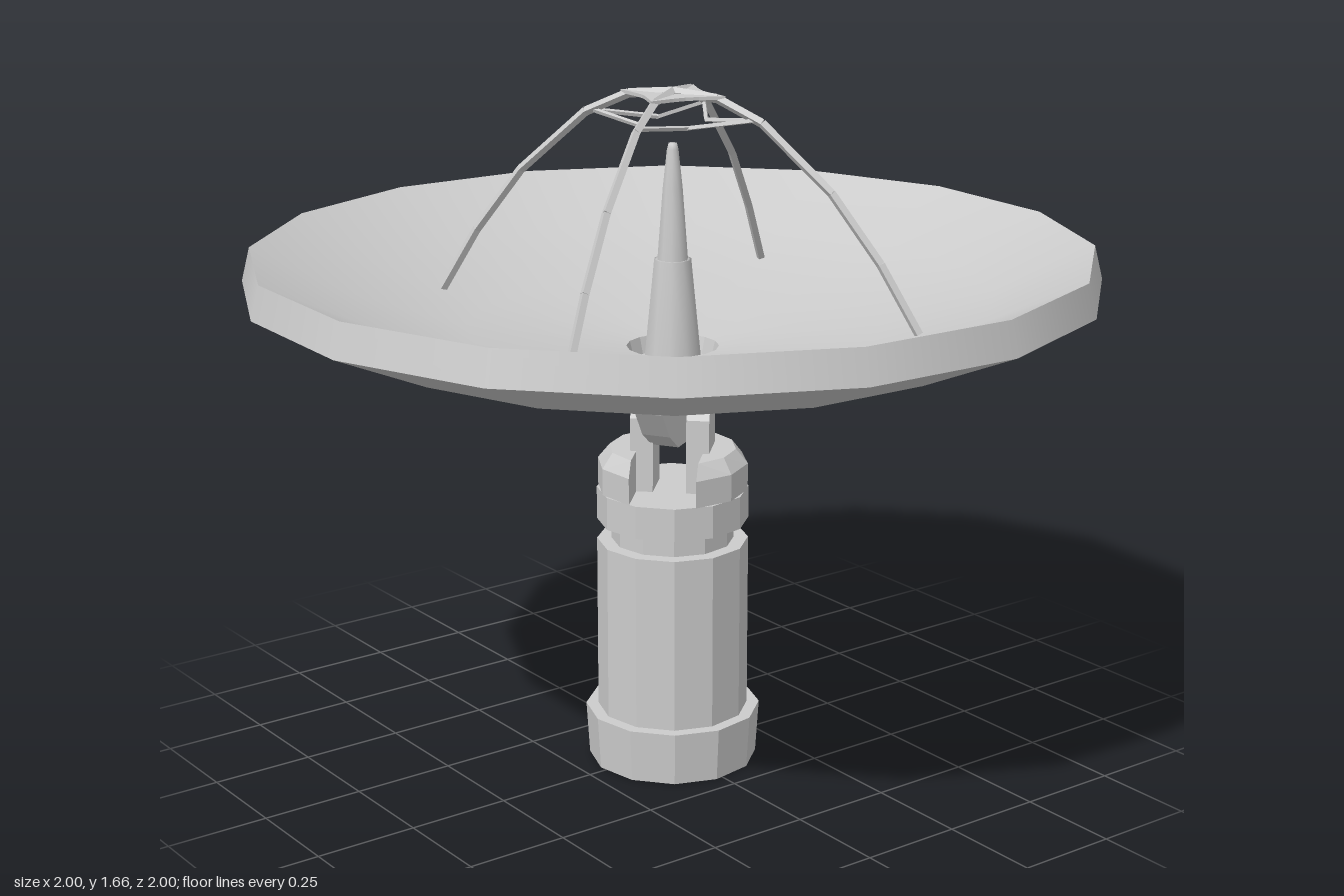
import * as THREE from 'three';
import { ConvexGeometry } from 'three/addons/geometries/ConvexGeometry.js';

const flat = new THREE.MeshStandardMaterial({ color: 0xcccccc, flatShading: true, side: THREE.DoubleSide });
const smooth = new THREE.MeshStandardMaterial({ color: 0xcccccc, side: THREE.DoubleSide });
const V = (x, y, z) => new THREE.Vector3(x, y, z);

function add(parent, name, geometry, material = flat) {
  const mesh = new THREE.Mesh(geometry, material);
  mesh.name = name;
  parent.add(mesh);
  return mesh;
}

function lathe(parent, name, profile, sides, material) {
  const points = profile.map(([r, y]) => new THREE.Vector2(r, y));
  return add(parent, name, new THREE.LatheGeometry(points, sides), material);
}

// Straight four-sided rod between two points
function rod(parent, name, a, b, radius) {
  const span = b.clone().sub(a);
  const mesh = add(parent, name, new THREE.CylinderGeometry(radius, radius, span.length(), 4));
  mesh.position.copy(a).addScaledVector(span, 0.5);
  mesh.quaternion.setFromUnitVectors(V(0, 1, 0), span.normalize());
}

function makePedestal() {
  const g = new THREE.Group();
  g.name = 'pedestal';
  // Base skirt is open underneath, with a ceiling at the top
  lathe(g, 'baseSkirt', [[0.205, 0], [0.213, 0.13], [0, 0.13]], 12, flat);
  lathe(g, 'column', [[0.183, 0.13], [0.183, 0.56], [0, 0.56]], 12, flat);
  lathe(g, 'neck', [[0.148, 0.56], [0.148, 0.61]], 12, flat);
  lathe(g, 'collar', [[0, 0.61], [0.183, 0.61], [0.183, 0.69], [0, 0.69]], 12, flat);
  g.rotation.y = -0.09;
  return g;
}

function makeYoke() {
  const g = new THREE.Group();
  g.name = 'yoke';
  const inner = 0.08;
  for (const side of [1, -1]) {
    // Arm: slice of the round collar with a chamfered top
    const points = [];
    for (const [r, y] of [[0.182, 0.69], [0.182, 0.755], [0.153, 0.79]]) {
      const reach = Math.acos(inner / r);
      for (let i = 0; i <= 4; i++) {
        const a = reach * (i / 2 - 1);
        points.push(V(r * Math.sin(a), y, side * r * Math.cos(a)));
      }
    }
    add(g, 'yokeArm', new ConvexGeometry(points));

    // Bearing ear with a chamfered head
    const ear = new THREE.Shape();
    ear.moveTo(-0.055, 0.69);
    ear.lineTo(0.055, 0.69);
    ear.lineTo(0.05, 0.87);
    ear.lineTo(0.025, 0.915);
    ear.lineTo(-0.025, 0.915);
    ear.lineTo(-0.05, 0.87);
    const mesh = add(g, 'bearingEar', new THREE.ExtrudeGeometry(ear, { depth: 0.055, bevelEnabled: false }));
    mesh.position.z = side > 0 ? 0.04 : -0.095;
  }
  g.rotation.y = -Math.PI / 4;
  return g;
}

function makeDish() {
  const g = new THREE.Group();
  g.name = 'dishHead';

  // Reflector shell
  lathe(g, 'dishUndersideCentre', [[0, 0.95], [0.1, 0.957], [0.49, 1.01]], 16, smooth);
  lathe(g, 'dishUnderside', [[0.49, 1.01], [0.76, 1.09], [1.012, 1.2]], 16, smooth);
  lathe(g, 'dishRim', [[1.012, 1.2], [0.992, 1.28]], 16, smooth);
  lathe(g, 'dishBowl', [[0.992, 1.28], [0.76, 1.17], [0.49, 1.09], [0.11, 1.04]], 16, smooth);

  // Sunken socket and stepped feed horn
  lathe(g, 'feedSocket', [[0.11, 1.04], [0.1, 1.0], [0, 1.0]], 16, flat);
  lathe(g, 'feedHornBase', [[0.07, 1.0], [0.045, 1.25], [0.037, 1.25]], 10, smooth);
  lathe(g, 'feedHorn', [[0.037, 1.25], [0.024, 1.42], [0.014, 1.51], [0.01, 1.525], [0, 1.525]], 10, smooth);

  // Half-round bracket held between the ears
  const bracket = new THREE.Shape();
  bracket.moveTo(-0.18, 0.98);
  for (const [x, y] of [[-0.15, 0.91], [-0.105, 0.845], [-0.05, 0.805], [0.05, 0.805],
    [0.105, 0.845], [0.15, 0.91], [0.18, 0.98]]) bracket.lineTo(x, y);
  const fin = add(g, 'tiltBracket', new THREE.ExtrudeGeometry(bracket, { depth: 0.07, bevelEnabled: false }));
  fin.position.z = -0.035;

  // Four bent struts, tied together by inward-bowed links
  const path = [[0.605, 1.125], [0.51, 1.28], [0.39, 1.435], [0.22, 1.585], [0.11, 1.635], [0, 1.645]];
  const polar = (r, y, a) => V(r * Math.cos(a), y, r * Math.sin(a));
  const star = new THREE.Shape();
  for (let i = 0; i < 4; i++) {
    const a = i * Math.PI / 2;
    for (let k = 0; k < path.length - 1; k++) {
      rod(g, 'strut', polar(...path[k], a), polar(...path[k + 1], a), 0.011);
    }
    const link = [[0.2, 1.59, 0], [0.11, 1.578, 0.4], [0.085, 1.573, Math.PI / 4],
      [0.11, 1.578, Math.PI / 2 - 0.4], [0.2, 1.59, Math.PI / 2]].map(([r, y, t]) => polar(r, y, a + t));
    for (let k = 0; k < 4; k++) rod(g, 'strutLink', link[k], link[k + 1], 0.006);
    for (const [r, t] of [[0.13, 0], [0.085, 0.4], [0.075, Math.PI / 4], [0.085, Math.PI / 2 - 0.4]]) {
      const x = r * Math.cos(a + t), y = r * Math.sin(a + t);
      if (i === 0 && t === 0) star.moveTo(x, y); else star.lineTo(x, y);
    }
  }

  // Thin concave star plate at the crown
  const crown = add(g, 'crownPlate', new THREE.ExtrudeGeometry(star, { depth: 0.008, bevelEnabled: false }));
  crown.rotation.x = -Math.PI / 2;
  crown.position.y = 1.634;

  g.rotation.y = -THREE.MathUtils.degToRad(58.5);
  return g;
}

export function createModel() {
  const model = new THREE.Group();
  model.name = 'dishAntenna';
  model.add(makePedestal(), makeYoke(), makeDish());
  return model;
}
